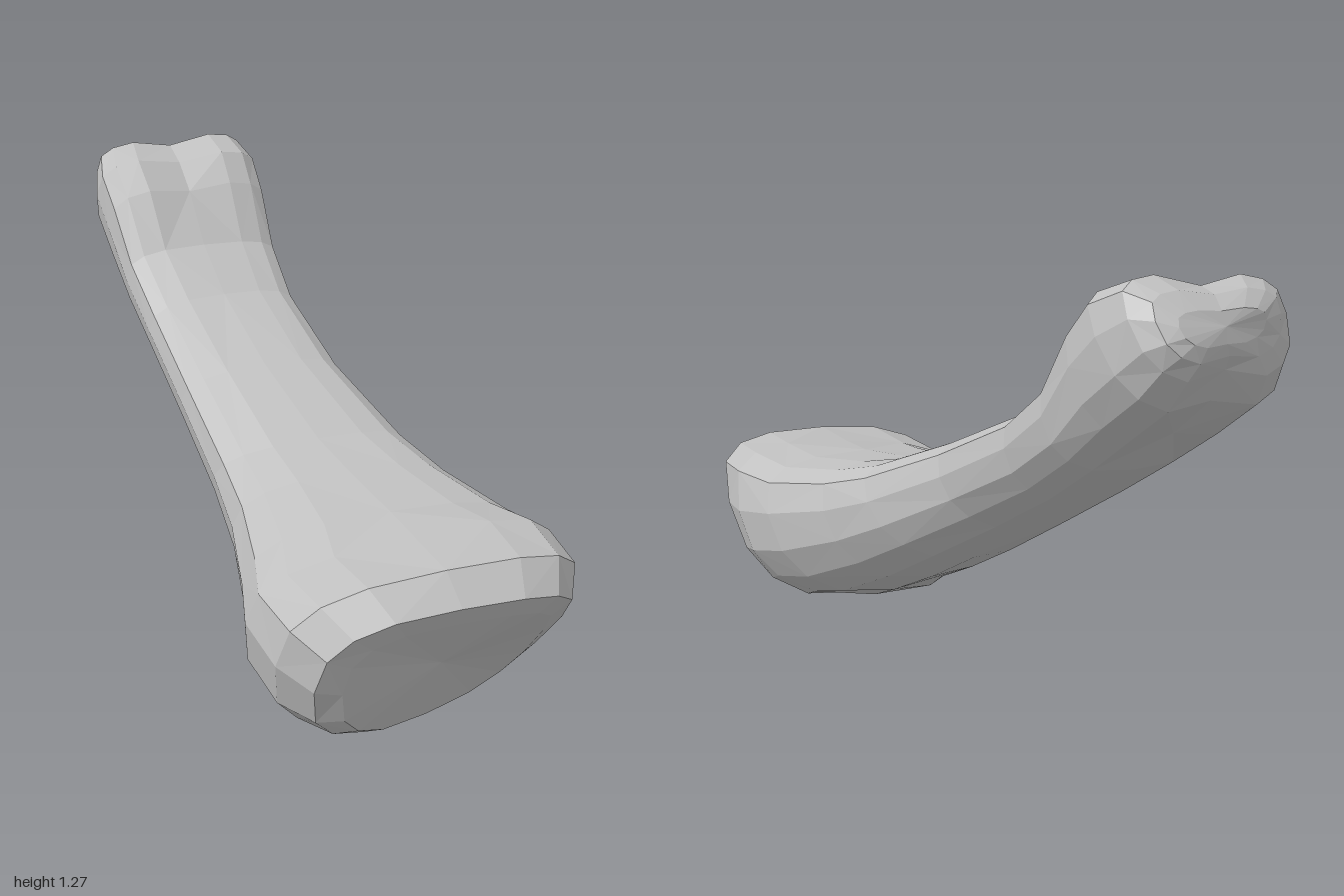
import * as THREE from 'three';

// Cross-sections from the socket end to the knuckle end:
// top z, top y, bottom z, bottom y, x min, x max, corner power, tilt, groove, skew
const SECTIONS = [
  [0.97, 0.385, 0.79, 0.04, -0.23, 0.33, 0.75, 0.05, 0, -0.09],
  [1.00, 0.44, 0.74, 0.012, -0.30, 0.38, 0.77, 0.06, 0, -0.1],
  [0.93, 0.51, 0.65, 0.00, -0.365, 0.42, 0.75, 0.1, 0, -0.07],
  [0.73, 0.51, 0.52, 0.035, -0.38, 0.437, 0.73, 0.2, 0, 0],
  [0.58, 0.515, 0.38, 0.10, -0.345, 0.395, 0.78, 0.06, 0, 0],
  [0.36, 0.545, 0.17, 0.21, -0.31, 0.30, 0.8, 0.1, 0, 0],
  [0.20, 0.585, -0.03, 0.33, -0.31, 0.235, 0.8, 0.15, 0, 0],
  [-0.10, 0.715, -0.25, 0.475, -0.335, 0.14, 0.8, 0.15, 0, 0],
  [-0.39, 0.855, -0.47, 0.62, -0.365, 0.092, 0.75, 0.1, 0, 0],
  [-0.55, 0.975, -0.65, 0.745, -0.395, 0.085, 0.7, 0.08, 0, 0],
  [-0.65, 1.145, -0.80, 0.85, -0.42, 0.083, 0.7, 0.08, 0.15, 0],
  [-0.72, 1.23, -0.93, 0.95, -0.437, 0.077, 0.68, 0.1, 0.2, -0.02],
  [-0.83, 1.27, -0.97, 1.03, -0.42, 0.052, 0.68, 0.12, 0.25, -0.03],
  [-0.90, 1.245, -0.98, 1.08, -0.37, 0.015, 0.7, 0.1, 0.2, -0.04],
  [-0.95, 1.205, -0.98, 1.12, -0.30, -0.03, 0.75, 0.1, 0.15, -0.03],
];
const SIDES = 16;

const power = (v, p) => Math.sign(v) * Math.abs(v) ** p;

// One rounded ring lying near the plane through its top and bottom points
function ring([zt, yt, zb, yb, x0, x1, p, tilt, groove, skew]) {
  const points = [];
  for (let j = 0; j < SIDES; j++) {
    const a = (j / SIDES) * Math.PI * 2;
    const c = power(Math.cos(a), p);
    const s = power(Math.sin(a), p);
    // the widest line sits high, more so on the left
    const lift = (0.2 + 0.12 * c) * (1 - s * s);
    // the groove dips the middle between the two knuckles
    const dip = groove * Math.max(0, 1 - Math.abs(c) * 1.8) * Math.sign(s);
    const lean = tilt * c * Math.abs(Math.sin(a));
    const t = (s + lift + lean - dip + 1) / 2;
    const z = zb + (zt - zb) * t + (skew * c * (1 - s)) / 2;
    points.push([(x0 + x1) / 2 + (c * (x1 - x0)) / 2, yb + (yt - yb) * t, z]);
  }
  return points;
}

function boneGeometry() {
  const positions = SECTIONS.flatMap(ring);
  const last = (SECTIONS.length - 1) * SIDES;
  const socket = positions.push([0.05, 0.23, 0.87]) - 1;
  const tip = positions.push([-0.17, 1.165, -0.967]) - 1;
  const index = [];
  for (let j = 0; j < SIDES; j++) {
    const k = (j + 1) % SIDES;
    for (let i = 0; i < last; i += SIDES) {
      const a = i + j, b = i + k, c = a + SIDES, d = b + SIDES;
      // alternate the diagonals for an irregular, chiselled surface
      if ((i / SIDES + j) % 2) index.push(a, c, b, b, c, d);
      else index.push(a, c, d, a, d, b);
    }
    index.push(socket, j, k, tip, last + k, last + j);
  }
  const geometry = new THREE.BufferGeometry();
  geometry.setAttribute('position', new THREE.Float32BufferAttribute(positions.flat(), 3));
  geometry.setIndex(index);
  const faceted = geometry.toNonIndexed();
  faceted.computeVertexNormals();
  return faceted;
}

export function createModel() {
  const boneGrey = new THREE.MeshStandardMaterial({ color: 0xc0c0c0, flatShading: true });
  boneGrey.name = 'bone grey';
  const bone = new THREE.Mesh(boneGeometry(), boneGrey);
  bone.name = 'fingerBone';
  const model = new THREE.Group();
  model.name = 'bone';
  model.add(bone);
  return model;
}
